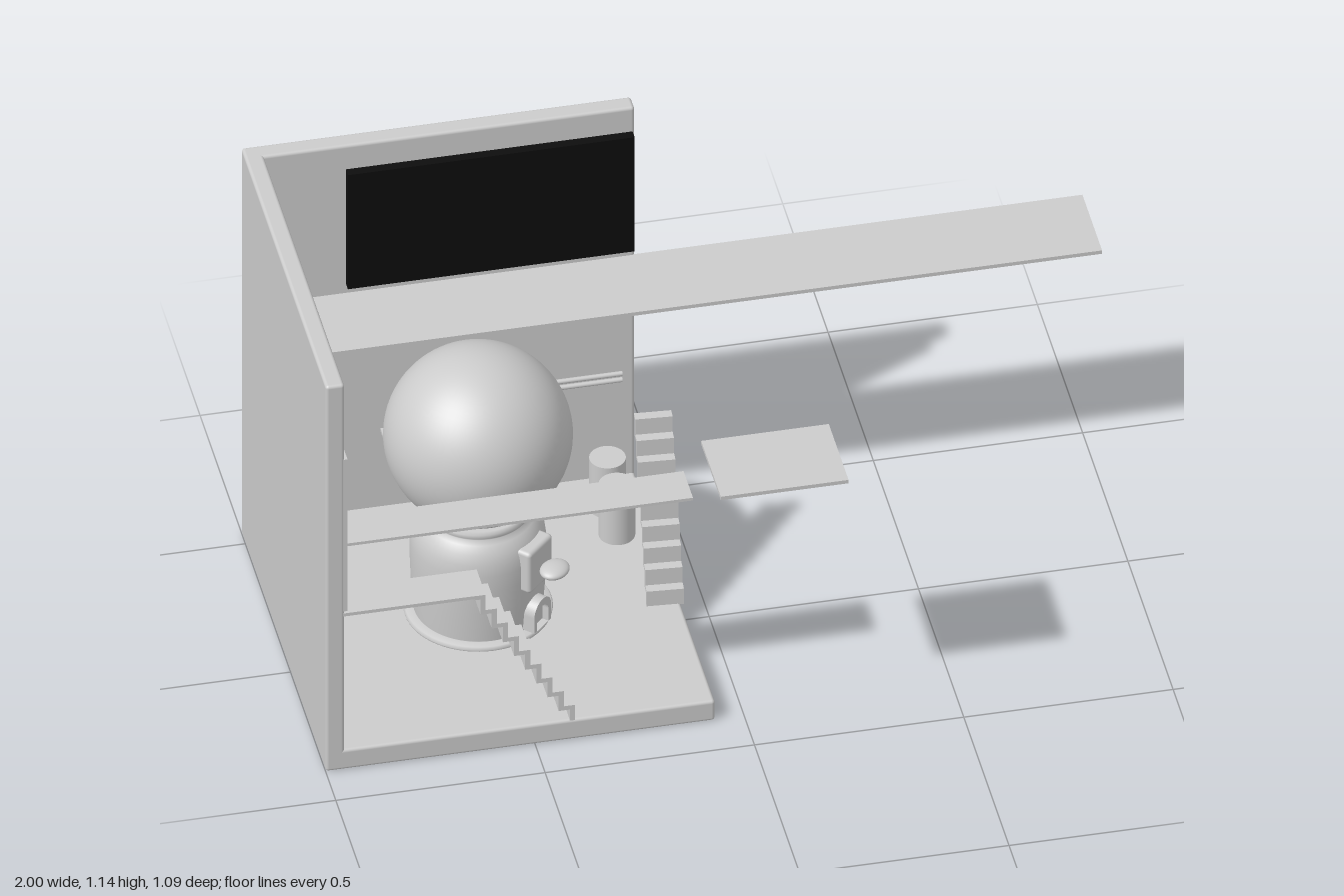
import * as THREE from 'three';
import { RoundedBoxGeometry } from 'three/addons/geometries/RoundedBoxGeometry.js';

const grey = new THREE.MeshStandardMaterial({ color: 0xcccccc });
const black = new THREE.MeshStandardMaterial({ color: 0x0d0d0d });

function add(parent, name, geometry, position = [0, 0, 0], material = grey) {
  const mesh = new THREE.Mesh(geometry, material);
  mesh.name = name;
  mesh.position.set(...position);
  parent.add(mesh);
  return mesh;
}

// Box given by its minimum and maximum corners, optionally with rounded edges
function slab(parent, name, [x0, y0, z0], [x1, y1, z1], radius = 0, material = grey) {
  const size = [x1 - x0, y1 - y0, z1 - z0];
  const geometry = radius ? new RoundedBoxGeometry(...size, 3, radius) : new THREE.BoxGeometry(...size);
  return add(parent, name, geometry, [(x0 + x1) / 2, (y0 + y1) / 2, (z0 + z1) / 2], material);
}

// Folded-plate staircase descending along local +x, centred on local z
function stairGeometry(run, rise, steps, width, t) {
  const p = run / steps, h = rise / steps;
  const shape = new THREE.Shape();
  shape.moveTo(0, rise - t);
  shape.lineTo(0, rise);
  for (let i = 0; i < steps; i++) {
    if (i) shape.lineTo(i * p, rise - i * h);
    shape.lineTo((i + 1) * p, rise - i * h);
  }
  shape.lineTo(run, 0);
  shape.lineTo(run - t, 0);
  for (let i = steps - 1; i >= 0; i--) {
    shape.lineTo((i + 1) * p - t, rise - i * h - t);
    if (i) shape.lineTo(i * p - t, rise - i * h - t);
  }
  return new THREE.ExtrudeGeometry(shape, { depth: width, bevelEnabled: false }).translate(0, 0, -width / 2);
}

function createMachine() {
  const machine = new THREE.Group();
  machine.name = 'globeMachine';
  machine.position.set(-0.535, 0, -0.08);

  // Base ring, domed body and neck rim
  const profile = [
    [0, 0.055], [0.173, 0.055], [0.175, 0.062], [0.171, 0.069], [0.152, 0.07], [0.152, 0.071],
    [0.157, 0.14], [0.16, 0.22], [0.16, 0.265], [0.156, 0.295], [0.147, 0.32], [0.133, 0.338],
    [0.122, 0.347], [0.126, 0.353], [0.126, 0.363], [0.12, 0.37], [0, 0.37],
  ].map(([r, y]) => new THREE.Vector2(r, y));
  add(machine, 'body', new THREE.LatheGeometry(profile, 64));
  add(machine, 'globe', new THREE.SphereGeometry(0.222, 64, 40), [0, 0.567, 0]);

  // Dispenser parts face the open corner of the room
  const face = new THREE.Group();
  face.name = 'dispenser';
  face.rotation.y = Math.PI / 4;
  machine.add(face);
  add(face, 'coinPlate', new RoundedBoxGeometry(0.1, 0.118, 0.05, 3, 0.01), [0, 0.255, 0.152]);
  const knob = add(face, 'knob', new THREE.SphereGeometry(1, 32, 20), [0, 0.256, 0.213]);
  knob.scale.set(0.04, 0.015, 0.033);

  // Arched chute with a recessed flap
  const arch = (w, h) => {
    const s = new THREE.Shape();
    s.moveTo(-w, 0);
    s.lineTo(w, 0);
    s.lineTo(w, h - w);
    s.absarc(0, h - w, w, 0, Math.PI);
    s.closePath();
    return s;
  };
  const frame = arch(0.036, 0.08);
  frame.holes.push(arch(0.024, 0.06));
  add(face, 'chuteFrame', new THREE.ExtrudeGeometry(frame, { depth: 0.045, bevelEnabled: false, curveSegments: 16 }), [0, 0.075, 0.135]);
  add(face, 'chuteFlap', new THREE.ExtrudeGeometry(arch(0.025, 0.062), { depth: 0.025, bevelEnabled: false, curveSegments: 16 }), [0, 0.075, 0.138]);
  return machine;
}

export function createModel() {
  const model = new THREE.Group();
  model.name = 'room';

  // Room shell
  slab(model, 'floor', [-1, 0, -0.545], [-0.07, 0.058, 0.39], 0.008);
  slab(model, 'leftWall', [-1, 0, -0.545], [-0.955, 1.137, 0.39], 0.008);
  slab(model, 'backWall', [-1, 0, -0.545], [-0.07, 1.137, -0.5], 0.008);
  slab(model, 'screen', [-0.76, 0.73, -0.502], [-0.075, 1.067, -0.477], 0, black);

  // Thin panels on the left wall
  slab(model, 'tallWallPanel', [-0.957, 0.467, 0.29], [-0.948, 0.915, 0.389]);
  slab(model, 'longWallPanel', [-0.957, 0.805, -0.16], [-0.948, 0.91, 0.287]);

  // Platforms and shelf
  slab(model, 'longWalkway', [-0.957, 0.692, -0.502], [1, 0.702, -0.285]);
  slab(model, 'floatingPlatform', [-0.09, 0.772, 0.327], [0.215, 0.782, 0.545]);
  slab(model, 'frontWalkway', [-0.957, 0.648, 0.272], [-0.12, 0.656, 0.376]);
  slab(model, 'stairLanding', [-0.957, 0.452, 0.29], [-0.635, 0.461, 0.389]);
  slab(model, 'smallShelf', [-0.68, 0.29, -0.488], [-0.55, 0.298, -0.385]);

  // Two staircases
  const stairs = stairGeometry(0.24, 0.405, 9, 0.099, 0.012);
  add(model, 'frontStairs', stairs, [-0.645, 0.056, 0.34]);
  const sideGeometry = stairGeometry(0.218, 0.405, 9, 0.088, 0.011);
  const side = add(model, 'sideStairs', sideGeometry, [-0.09, 0.056, -0.21]);
  side.rotation.y = -Math.PI / 2 - 0.075;

  // Barrels and wall rails
  for (const z of [-0.28, -0.384]) {
    add(model, 'barrel', new THREE.CylinderGeometry(0.043, 0.043, 0.152, 40), [-0.16, 0.13, z]);
  }
  for (const y of [0.357, 0.375]) {
    const rail = add(model, 'wallRail', new THREE.CylinderGeometry(0.006, 0.006, 0.36, 16), [-0.285, y, -0.476]);
    rail.rotation.z = Math.PI / 2;
  }

  model.add(createMachine());
  return model;
}
